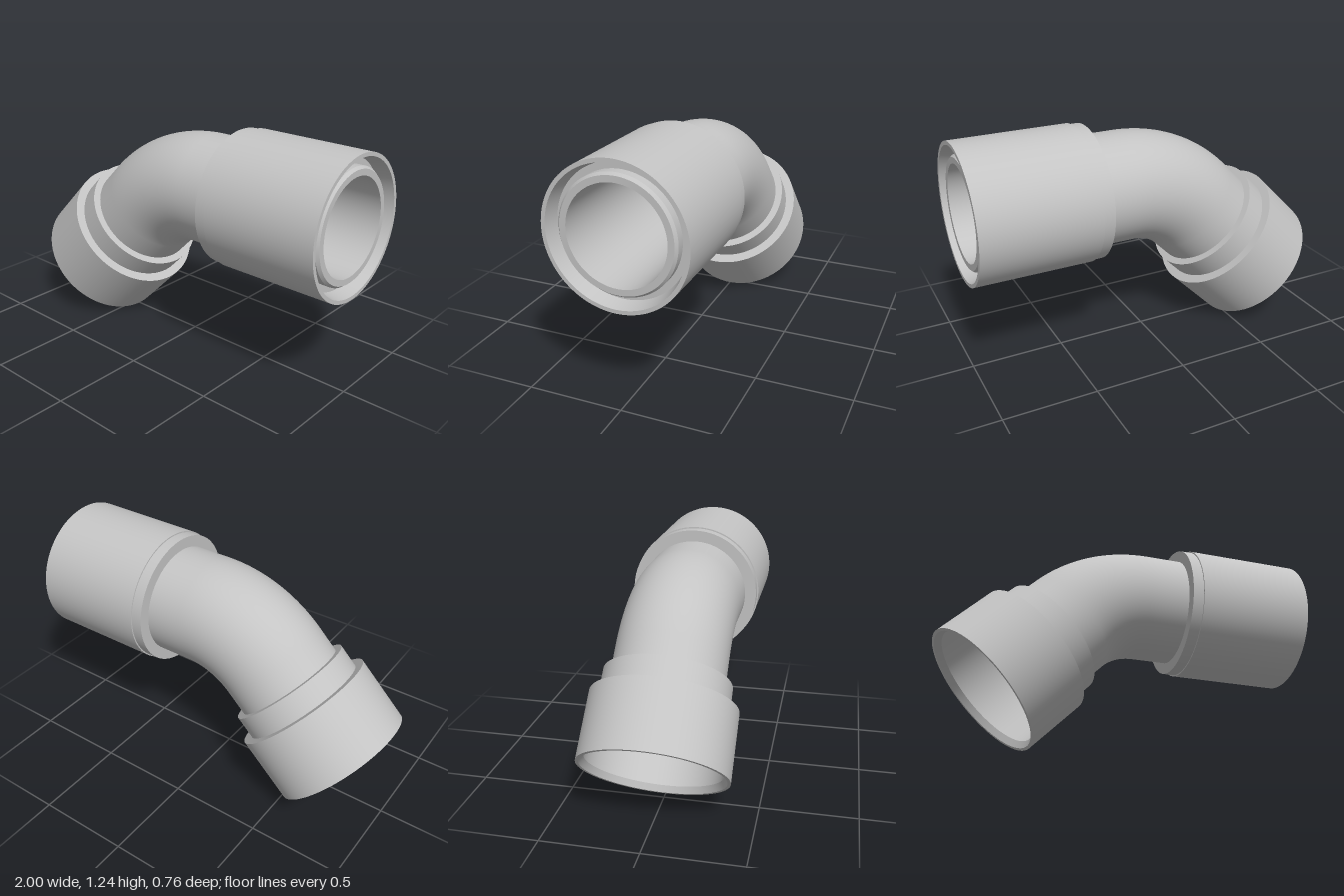
import * as THREE from 'three';
import { mergeGeometries } from 'three/addons/utils/BufferGeometryUtils.js';

const AXIS_Y = 0.887;  // height of the straight pipe axis
const BEND_X = 0.12;   // where the bend meets the straight pipe
const BEND_R = 0.58;   // bend radius of the pipe axis
const OUTER = 0.295;
const BORE = 0.25;

// Revolve a profile, one band per segment, so every step keeps a crisp edge
function turned(points) {
  const bands = [];
  for (let i = 0; i < points.length - 1; i++) {
    const pair = [points[i], points[i + 1]].map(([r, y]) => new THREE.Vector2(r, y));
    bands.push(new THREE.LatheGeometry(pair, 96));
  }
  return mergeGeometries(bands);
}

// A 45 degree piece of pipe wall
function bendWall(radius, inward) {
  const geometry = new THREE.TorusGeometry(BEND_R, radius, 96, 40, Math.PI / 4);
  if (inward) {
    geometry.setIndex(Array.from(geometry.index.array).reverse());
    const normal = geometry.attributes.normal;
    for (let i = 0; i < normal.count; i++) {
      normal.setXYZ(i, -normal.getX(i), -normal.getY(i), -normal.getZ(i));
    }
  }
  return geometry;
}

export function createModel() {
  const model = new THREE.Group();
  model.name = 'pipeElbow';
  const grey = new THREE.MeshStandardMaterial({ color: 0xc4c4c4 });
  grey.name = 'lightGrey';

  function add(name, geometry, x, y, turn) {
    const mesh = new THREE.Mesh(geometry, grey);
    mesh.name = name;
    mesh.position.set(x, y, 0);
    mesh.rotation.z = turn;
    model.add(mesh);
  }

  // Curved middle: outside and bore
  const centreY = AXIS_Y - BEND_R;
  add('bendOutside', bendWall(OUTER, false), BEND_X, centreY, Math.PI / 2);
  add('bendBore', bendWall(BORE, true), BEND_X, centreY, Math.PI / 2);

  // Straight pipe with collar, sleeve and recessed inner lip
  add('straightSleeve', turned([
    [OUTER, 0], [OUTER, 0.195],
    [0.357, 0.195], [0.357, 0.255],
    [0.364, 0.255], [0.364, 0.88],
    [0.344, 0.88], [0.328, 0.80],
    [0.294, 0.80], [0.294, 0.845],
    [0.282, 0.86], [BORE, 0.86], [BORE, 0],
  ]), BEND_X, AXIS_Y, -Math.PI / 2);

  // Slanted stepped socket, open at its lower end
  const s = Math.SQRT1_2;
  add('slantedSocket', turned([
    [OUTER, 0], [OUTER, 0.136],
    [0.333, 0.136], [0.333, 0.264],
    [0.381, 0.264], [0.381, 0.624],
    [0.365, 0.624], [0.345, 0.59],
    [0.345, 0.288], [BORE, 0.288], [BORE, 0],
  ]), BEND_X - BEND_R * s, centreY + BEND_R * s, Math.PI * 0.75);

  return model;
}
